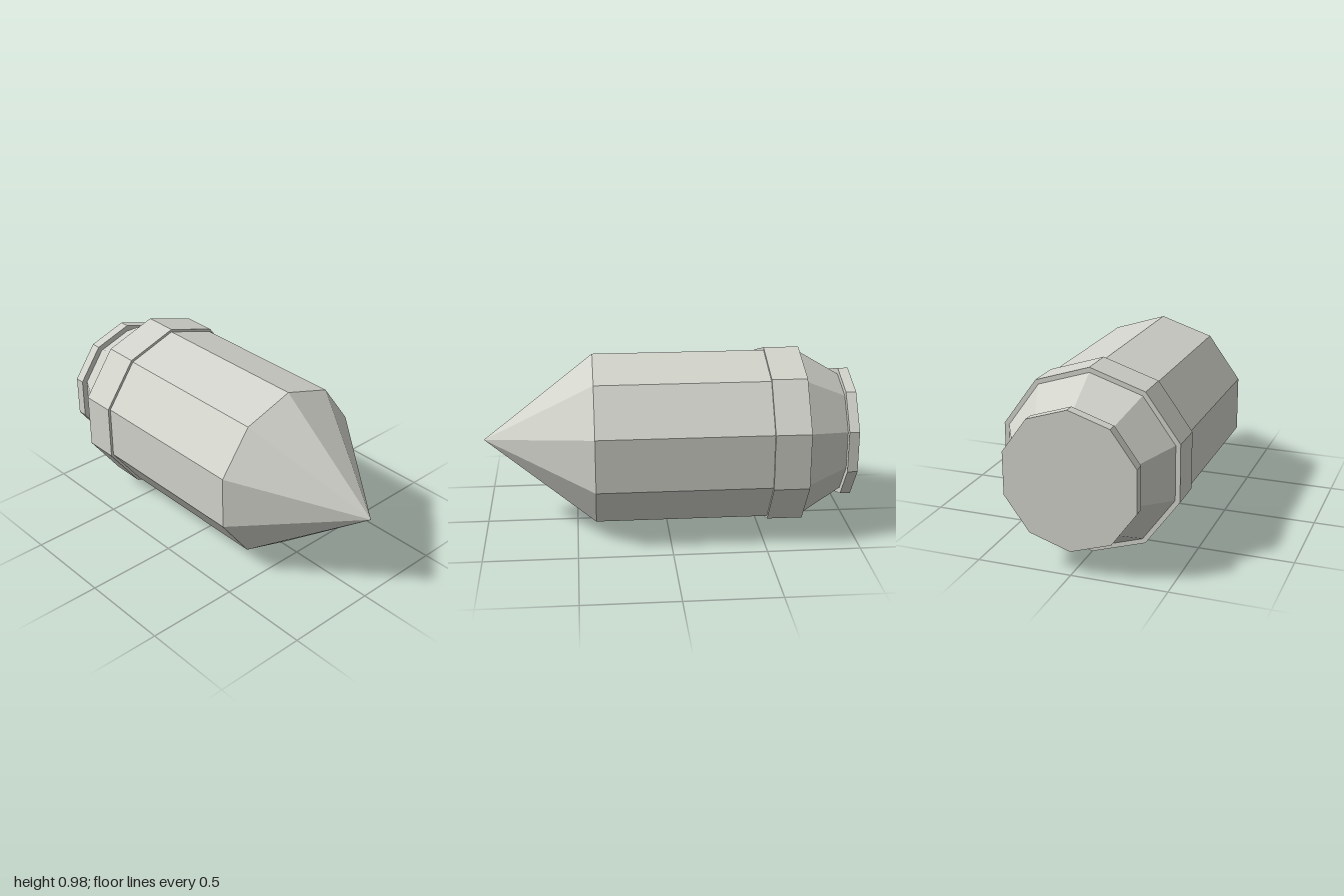
import * as THREE from 'three';

const SIDES = 10;
const AXIS_HEIGHT = 0.49;

export function createModel() {
  const group = new THREE.Group();
  group.name = 'bullet';

  const paleGrey = new THREE.MeshStandardMaterial({ color: 0xd2d3cb, flatShading: true });
  paleGrey.name = 'paleGrey';

  // Ten-sided section along x, from x0 (radius r0) to x1 (radius r1), with a corner at the top
  function addSection(name, x0, r0, x1, r1, open = false) {
    const geometry = new THREE.CylinderGeometry(r1, r0, x1 - x0, SIDES, 1, open, Math.PI / 2);
    geometry.rotateZ(-Math.PI / 2);
    const mesh = new THREE.Mesh(geometry, paleGrey);
    mesh.name = name;
    mesh.position.set((x0 + x1) / 2, AXIS_HEIGHT, 0);
    group.add(mesh);
  }

  addSection('baseRim', -1, 0.363, -0.945, 0.363);
  addSection('taperedNeck', -0.945, 0.329, -0.72, 0.464, true);
  addSection('collar', -0.72, 0.49, -0.53, 0.49);
  addSection('casing', -0.53, 0.475, 0.4, 0.475, true);
  addSection('pointedTip', 0.4, 0.475, 1, 0, true);

  return group;
}
